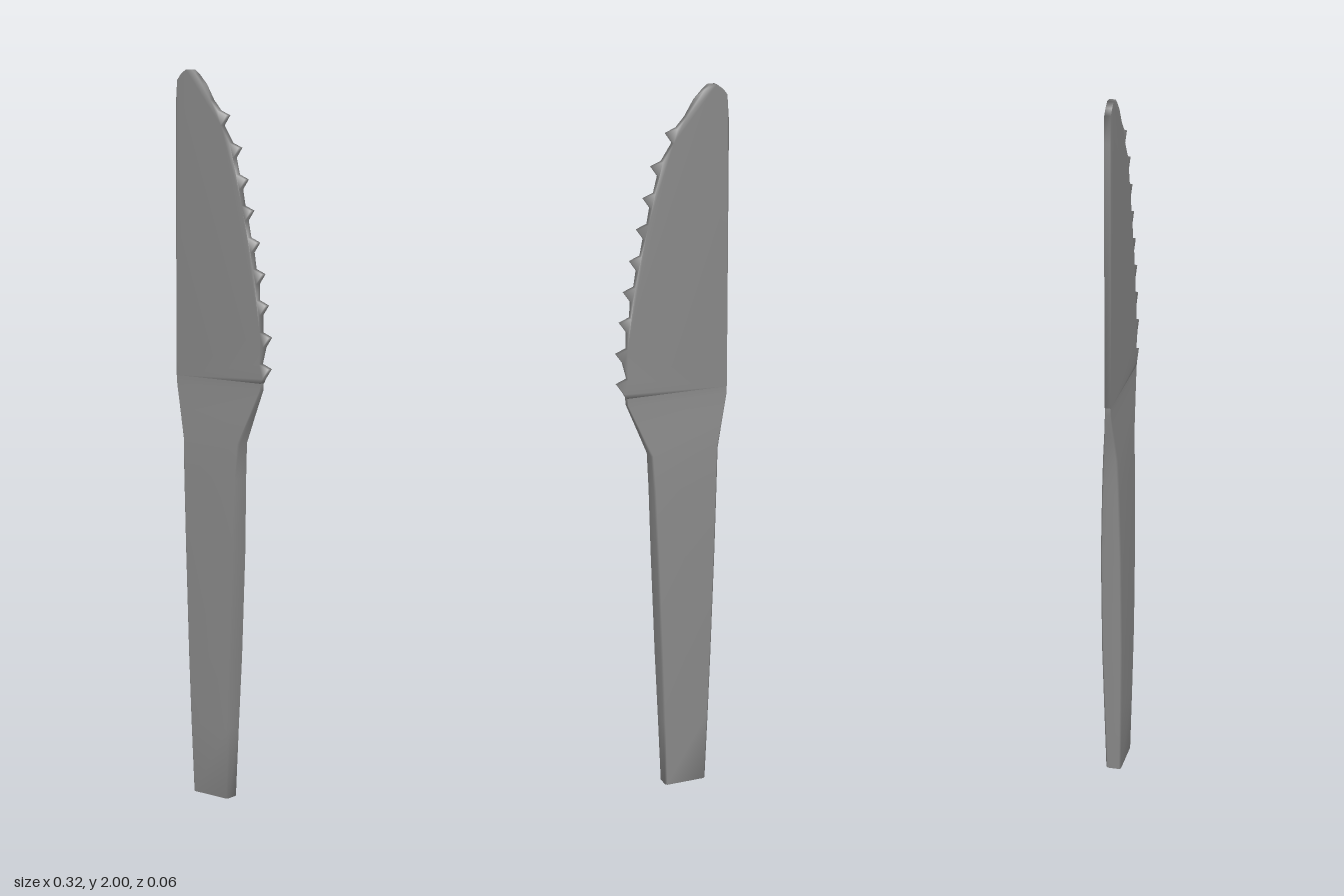
import * as THREE from 'three';
import { mergeVertices } from 'three/addons/utils/BufferGeometryUtils.js';

const material = new THREE.MeshStandardMaterial({ color: 0x898989 });
const BACK = -0.006, FRONT = 0.011, JOINT = 1.17;

// Handle stations: height, left edge x, right edge x, back z, front z
const stations = [
  [0, -0.095, 0.027, -0.022, 0.021],
  [0.2, -0.102, 0.034, -0.026, 0.025],
  [0.4, -0.108, 0.042, -0.03, 0.028],
  [0.7, -0.118, 0.053, -0.03, 0.028],
  [0.9, -0.126, 0.06, -0.024, 0.025],
  [1.0, -0.13, 0.066, -0.02, 0.022],
  [1.08, -0.146, 0.1, -0.012, 0.016],
  [1.15, -0.16, 0.13, BACK, FRONT],
  [JOINT, -0.16, 0.131, BACK, FRONT],
];

// Chamfered rectangle around one station
function ring([y, x0, x1, z0, z1]) {
  const c = Math.min(0.005, (z1 - z0) * 0.12);
  return [
    [x0 + c, z0], [x1 - c, z0], [x1, z0 + c], [x1, z1 - c],
    [x1 - c, z1], [x0 + c, z1], [x0, z1 - c], [x0, z0 + c],
  ].map(([x, z]) => [x, y, z]);
}

function handleGeometry() {
  const n = 8, position = [], index = [];
  stations.forEach((s) => ring(s).forEach((p) => position.push(...p)));
  for (let s = 0; s < stations.length - 1; s++) {
    for (let i = 0; i < n; i++) {
      const a = s * n + i, b = s * n + (i + 1) % n;
      index.push(a, a + n, b, b, a + n, b + n);
    }
  }
  // Bottom cap; the blade closes the top
  for (let i = 1; i < n - 1; i++) index.push(0, i, i + 1);
  const geometry = new THREE.BufferGeometry();
  geometry.setAttribute('position', new THREE.Float32BufferAttribute(position, 3));
  geometry.setIndex(index);
  geometry.computeVertexNormals();
  return geometry;
}

// Tooth tips along the cutting edge, from the top down
const tips = [
  [0.015, 1.88], [0.056, 1.795], [0.078, 1.712], [0.097, 1.63], [0.117, 1.546],
  [0.135, 1.463], [0.147, 1.38], [0.158, 1.295], [0.157, 1.21],
];

function bladeGeometry() {
  const outline = [
    [0.131, JOINT], [-0.16, JOINT], [-0.16, 1.9], [-0.155, 1.972], [-0.142, 1.988],
    [-0.125, 2], [-0.105, 2], [-0.09, 1.988], [-0.065, 1.962], [-0.04, 1.92],
  ];
  // Each tooth: shoulder, tip, and the notch below it
  tips.forEach(([x, y]) => {
    outline.push([x - 0.03, y + 0.012], [x, y], [x - 0.019, y - 0.027]);
  });
  const shape = new THREE.Shape(outline.map(([x, y]) => new THREE.Vector2(x, y)));
  const extruded = new THREE.ExtrudeGeometry(shape, { depth: FRONT - BACK, bevelEnabled: false });
  extruded.translate(0, 0, BACK);
  // Weld the corners so shading runs softly over the thin edge
  extruded.deleteAttribute('normal');
  extruded.deleteAttribute('uv');
  const geometry = mergeVertices(extruded);
  geometry.computeVertexNormals();
  return geometry;
}

export function createModel() {
  const knife = new THREE.Group();
  knife.name = 'knife';
  const parts = { handle: handleGeometry(), serratedBlade: bladeGeometry() };
  for (const [name, geometry] of Object.entries(parts)) {
    const mesh = new THREE.Mesh(geometry, material);
    mesh.name = name;
    knife.add(mesh);
  }
  return knife;
}
